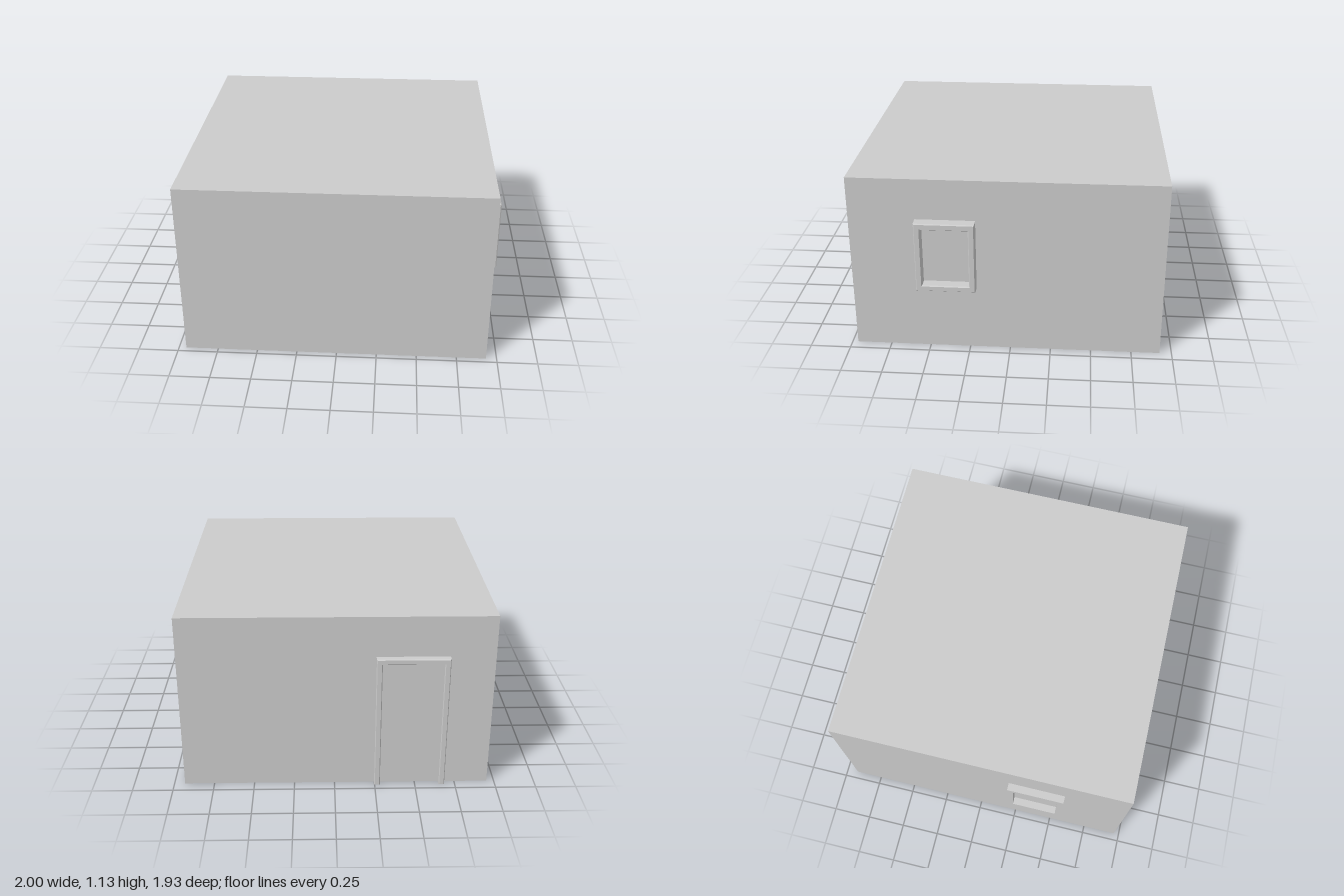
import * as THREE from 'three';

const material = new THREE.MeshStandardMaterial({ color: 0xcccccc, flatShading: true });

// Wall faces of the house body
const X0 = -0.954, X1 = 0.934, Z0 = -0.926, Z1 = 0.965, H = 1.128;

function loop(PathType, points) {
  const path = new PathType(points.map(([x, y]) => new THREE.Vector2(x, y)));
  path.closePath();
  return path;
}

const rect = (w, y0, y1) => [[-w / 2, y0], [w / 2, y0], [w / 2, y1], [-w / 2, y1]];

// Frame standing out from a wall by depth, with a small bevel on its front edges
function addFrame(group, name, shape, depth, bevel, position, turn) {
  const geometry = new THREE.ExtrudeGeometry(shape, {
    depth: depth - bevel,
    bevelEnabled: bevel > 0,
    bevelThickness: bevel,
    bevelSize: bevel * 0.7,
    bevelOffset: -bevel * 0.7,
    bevelSegments: 1,
  });
  const mesh = new THREE.Mesh(geometry, material);
  mesh.name = name;
  mesh.position.set(...position);
  mesh.rotation.y = turn;
  group.add(mesh);
}

export function createModel() {
  const model = new THREE.Group();
  model.name = 'house';

  // Plain box body with a flat roof
  const body = new THREE.Mesh(new THREE.BoxGeometry(X1 - X0, H, Z1 - Z0), material);
  body.name = 'walls';
  body.position.set((X0 + X1) / 2, H / 2, (Z0 + Z1) / 2);
  model.add(body);

  // Window frames, one on each side wall
  const windowShape = loop(THREE.Shape, rect(0.36, 0.423, 0.872));
  windowShape.holes.push(loop(THREE.Path, rect(0.284, 0.46, 0.832)));
  addFrame(model, 'leftWindowFrame', windowShape, 1 - X1, 0.007, [X1, 0, 0.384], Math.PI / 2);
  addFrame(model, 'rightWindowFrame', windowShape, 1 + X0, 0, [X0, 0, 0.384], -Math.PI / 2);

  // Door frame on the back wall, open at the bottom
  const w = 0.219, t = 0.036, top = 0.872;
  const doorShape = loop(THREE.Shape, [
    [-w, 0], [-w + t, 0], [-w + t, top - t], [w - t, top - t],
    [w - t, 0], [w, 0], [w, top], [-w, top],
  ]);
  addFrame(model, 'doorFrame', doorShape, 0.041, 0.007, [-0.465, 0, Z0], Math.PI);

  return model;
}
